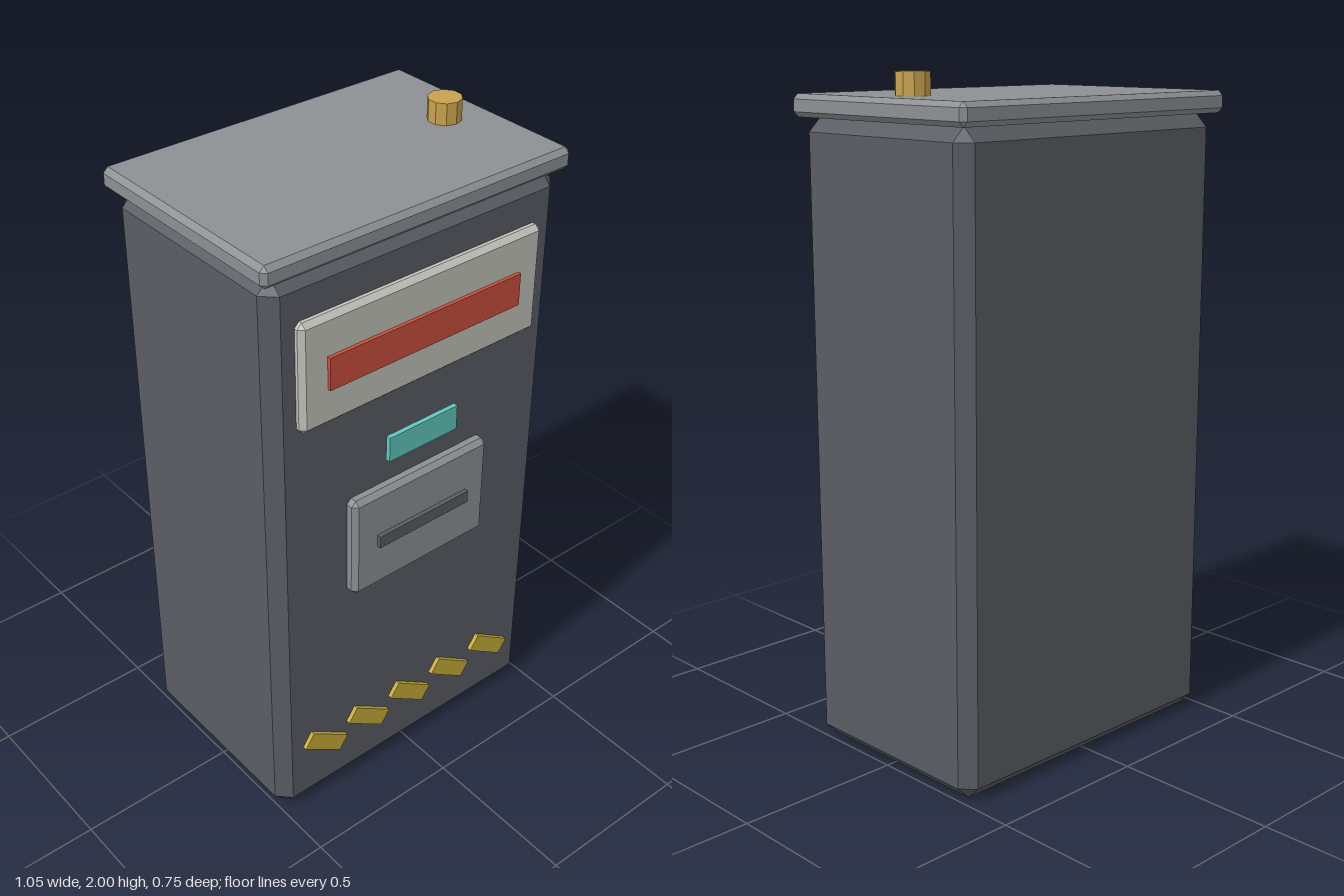
import * as THREE from 'three';
import { ConvexGeometry } from 'three/addons/geometries/ConvexGeometry.js';

const mat = (name, color) => {
  const m = new THREE.MeshStandardMaterial({ color });
  m.name = name;
  return m;
};

// Box with every edge cut by a flat chamfer c
function chamferBox(w, h, d, c) {
  const x = w / 2, y = h / 2, z = d / 2, points = [];
  for (const sx of [-1, 1]) for (const sy of [-1, 1]) for (const sz of [-1, 1]) {
    points.push(
      new THREE.Vector3(sx * x, sy * (y - c), sz * (z - c)),
      new THREE.Vector3(sx * (x - c), sy * y, sz * (z - c)),
      new THREE.Vector3(sx * (x - c), sy * (y - c), sz * z)
    );
  }
  return new ConvexGeometry(points);
}

export function createModel() {
  const darkGrey = mat('dark grey', 0x5a5d64);
  const midGrey = mat('mid grey', 0x8d9094);
  const cream = mat('pale stone', 0xc3c3bc);
  const red = mat('red', 0xcb503c);
  const teal = mat('teal', 0x60c9be);
  const yellow = mat('yellow', 0xc8ae38);
  const brass = mat('brass', 0xc8a24e);

  const model = new THREE.Group();
  model.name = 'ticketMachine';
  const add = (name, geometry, material, x, y, z) => {
    const mesh = new THREE.Mesh(geometry, material);
    mesh.name = name;
    mesh.position.set(x, y, z);
    model.add(mesh);
    return mesh;
  };

  // Cabinet and lid
  add('cabinet', chamferBox(1.01, 1.87, 0.675, 0.04), darkGrey, 0, 0.935, -0.016);
  add('lid', chamferBox(1.05, 0.065, 0.713, 0.015), midGrey, 0, 1.9025, -0.0185);

  // Ten-sided knob on the lid
  add('knob', new THREE.CylinderGeometry(0.05, 0.05, 0.08, 10).toNonIndexed(), brass, 0.38, 1.96, -0.0185)
    .geometry.computeVertexNormals();

  // Sign panel with display strip
  add('signPanel', chamferBox(0.845, 0.335, 0.05, 0.015), cream, 0, 1.572, 0.322);
  add('displayStrip', new THREE.BoxGeometry(0.675, 0.1, 0.02), red, 0, 1.57, 0.348);

  // Indicator light
  add('indicator', new THREE.BoxGeometry(0.25, 0.08, 0.015), teal, 0, 1.23, 0.345);

  // Slot plate
  add('slotPlate', chamferBox(0.505, 0.335, 0.05, 0.015), midGrey, 0, 0.934, 0.332);
  add('slot', new THREE.BoxGeometry(0.338, 0.04, 0.02), darkGrey, 0, 0.935, 0.36);

  // Slanted warning stripes
  const stripe = new THREE.BoxGeometry(0.16, 0.056, 0.02);
  for (let i = -2; i <= 2; i++) {
    add('warningStripe', stripe, yellow, i * 0.17, 0.213, 0.325).rotation.z = -0.6;
  }

  return model;
}
